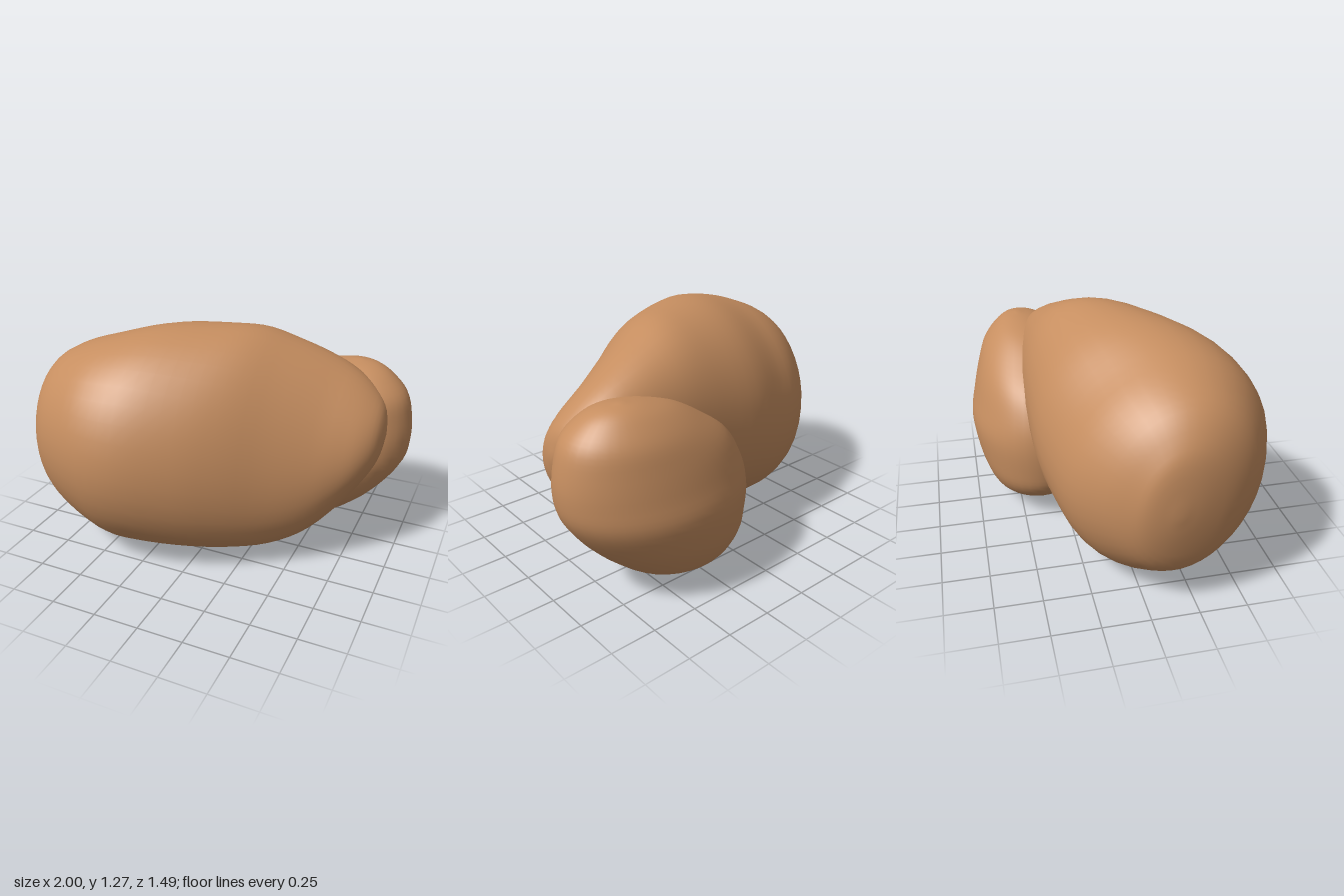
import * as THREE from 'three';
import { mergeVertices } from 'three/addons/utils/BufferGeometryUtils.js';

// Smooth closed lump from elliptical sections along one axis.
// Each section: [position, a min, a max, b min, b max]; place() maps (position, a, b) to x, y, z;
// lean() slants each ellipse inside its bounds.
function loft(sections, place, lean, rings = 48, sides = 40) {
  const centre = new THREE.CatmullRomCurve3(
    sections.map(([p, a0, a1, b0, b1]) => new THREE.Vector3(p, (a0 + a1) / 2, (b0 + b1) / 2)), false, 'catmullrom');
  const radius = new THREE.CatmullRomCurve3(
    sections.map(([, a0, a1, b0, b1]) => new THREE.Vector3(0, (a1 - a0) / 2, (b1 - b0) / 2)), false, 'catmullrom');
  const positions = [], indices = [];
  for (let i = 0; i <= rings; i++) {
    const c = centre.getPoint(i / rings), r = radius.getPoint(i / rings);
    for (let j = 0; j < sides; j++) {
      const t = (j / sides) * Math.PI * 2;
      positions.push(...place(c.x, c.y + r.y * Math.cos(t + lean(c.x)), c.z + r.z * Math.sin(t)));
      if (i === rings) continue;
      const k = (j + 1) % sides;
      const p = i * sides + j, q = i * sides + k;
      if (i > 0) indices.push(p, q, p + sides);
      if (i < rings - 1) indices.push(q, q + sides, p + sides);
    }
  }
  let geometry = new THREE.BufferGeometry();
  geometry.setAttribute('position', new THREE.Float32BufferAttribute(positions, 3));
  geometry.setIndex(indices);
  geometry = mergeVertices(geometry, 1e-5); // closes the end points
  geometry.computeVertexNormals();
  return geometry;
}

export function createModel() {
  const group = new THREE.Group();
  group.name = 'potato';
  const skin = new THREE.MeshStandardMaterial({ color: 0xc68e60 });
  skin.name = 'potato skin';

  // Large tuber, sections along x: [x, y min, y max, z min, z max]
  const body = new THREE.Mesh(loft([
    [-1.0, 0.6, 0.6, 0.12, 0.12],
    [-0.98, 0.43, 0.82, -0.01, 0.27],
    [-0.93, 0.25, 0.95, -0.1, 0.43],
    [-0.83, 0.15, 1.07, -0.215, 0.57],
    [-0.67, 0.055, 1.155, -0.33, 0.67],
    [-0.47, 0.0, 1.22, -0.395, 0.74],
    [-0.25, 0.015, 1.265, -0.45, 0.73],
    [0.0, 0.03, 1.27, -0.46, 0.63],
    [0.2, 0.045, 1.255, -0.46, 0.51],
    [0.38, 0.075, 1.19, -0.455, 0.38],
    [0.55, 0.16, 1.115, -0.44, 0.26],
    [0.7, 0.31, 1.035, -0.41, 0.15],
    [0.81, 0.46, 0.95, -0.36, 0.06],
    [0.88, 0.59, 0.86, -0.27, -0.04],
    [0.905, 0.73, 0.73, -0.16, -0.16],
  ], (p, a, b) => [p, a, b], x => THREE.MathUtils.clamp(0.11 + 0.38 * x, -0.1, 0.35)), skin);
  body.name = 'mainTuber';

  // Side lump, sections along y: [y, z min, z max, x min, x max]
  const lump = new THREE.Mesh(loft([
    [0.055, -0.4, -0.4, 0.35, 0.35],
    [0.065, -0.53, -0.26, 0.17, 0.5],
    [0.11, -0.625, -0.15, 0.03, 0.62],
    [0.2, -0.68, -0.07, -0.06, 0.74],
    [0.32, -0.72, -0.02, -0.085, 0.86],
    [0.48, -0.745, -0.01, -0.085, 0.97],
    [0.62, -0.72, -0.03, -0.05, 1.0],
    [0.76, -0.685, -0.07, 0.04, 0.99],
    [0.88, -0.64, -0.12, 0.2, 0.955],
    [0.97, -0.57, -0.21, 0.36, 0.87],
    [1.02, -0.5, -0.31, 0.53, 0.78],
    [1.04, -0.42, -0.42, 0.67, 0.67],
  ], (p, a, b) => [b, p, a], () => 0), skin);
  lump.name = 'sideLump';

  group.add(body, lump);
  return group;
}
